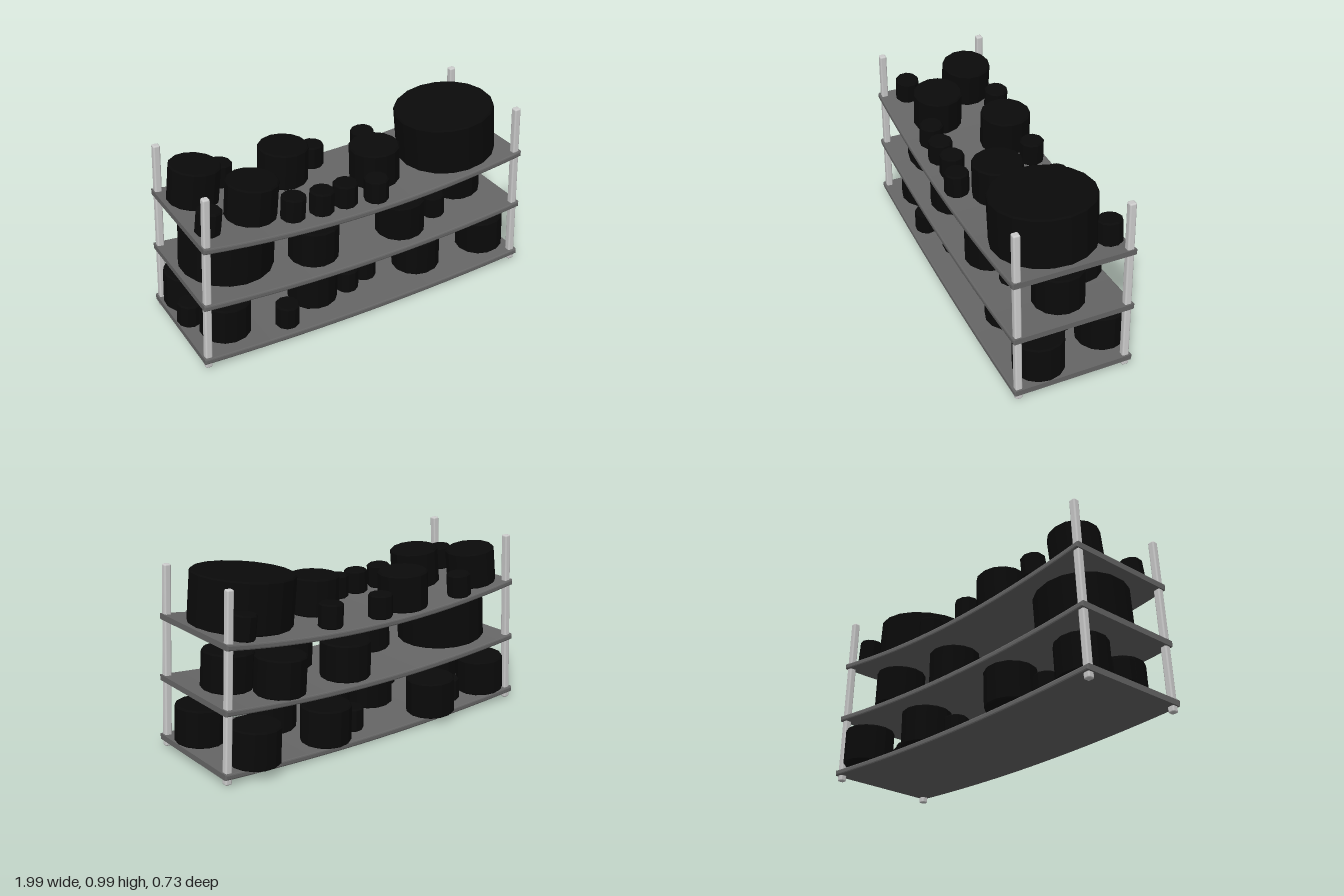
import * as THREE from 'three';
import { RoundedBoxGeometry } from 'three/addons/geometries/RoundedBoxGeometry.js';

const postMat = new THREE.MeshStandardMaterial({ color: 0xcccccc });
const boardMat = new THREE.MeshStandardMaterial({ color: 0x666666 });
const potMat = new THREE.MeshStandardMaterial({ color: 0x0a0a0a, flatShading: true });

const THICK = 0.032, BACK = -0.3, FRONT = 0.365;

// Pot sizes: radius, height, sides
const SIZES = {
  S: [0.067, 0.132, 10],
  M: [0.138, 0.207, 14],
  L: [0.253, 0.275, 18],
  XL: [0.275, 0.275, 18],
};

// Each shelf: half width, top surface at the middle, sag, pots as [size, x, z]
const SHELVES = [
  {
    name: 'bottomShelf', half: 0.995, y: 0.037, sag: 0.035,
    pots: [
      ['M', -0.79, 0.165], ['M', -0.85, -0.17], ['S', -0.93, 0.02], ['S', -0.6, -0.165],
      ['S', -0.475, 0.27], ['M', -0.41, -0.225], ['M', -0.235, 0.115], ['S', -0.03, 0.14],
      ['S', 0.115, 0.09], ['S', 0.1, -0.15], ['M', 0.305, -0.19], ['M', 0.435, 0.135],
      ['S', 0.62, -0.07], ['M', 0.78, -0.228], ['M', 0.86, 0.17],
    ],
  },
  {
    name: 'middleShelf', half: 0.977, y: 0.352, sag: 0.052,
    pots: [
      ['L', -0.7, 0.02], ['M', -0.255, 0.17], ['M', 0.135, -0.14], ['M', 0.285, 0.185],
      ['S', 0.52, 0.165], ['M', 0.58, -0.172], ['M', 0.775, 0.025],
    ],
  },
  {
    name: 'topShelf', half: 0.958, y: 0.662, sag: 0.075,
    pots: [
      ['M', -0.8, -0.125], ['S', -0.6, -0.235], ['S', -0.87, 0.215], ['M', -0.595, 0.13],
      ['S', -0.41, 0.24], ['S', -0.247, 0.25], ['S', -0.1, 0.24], ['S', 0.067, 0.28],
      ['M', -0.265, -0.145], ['S', -0.05, -0.21], ['S', 0.275, -0.2], ['M', 0.173, 0.09],
      ['XL', 0.66, 0.06], ['S', 0.825, -0.22],
    ],
  },
];

// Round pot with a narrow chamfer, standing on its local origin
function potGeometry([r, h, sides]) {
  const c = 0.008;
  const profile = [[0, 0], [r - c, 0], [r, c], [r, h - c], [r - c, h], [0, h]];
  return new THREE.LatheGeometry(profile.map(p => new THREE.Vector2(...p)), sides);
}

// Sagging board, extruded from its curved front outline
function boardGeometry({ half, y, sag }) {
  const n = 16, bevel = 0.008, shape = new THREE.Shape();
  const at = i => {
    const t = (2 * i) / n - 1;
    return [half * t, y + sag * t * t];
  };
  for (let i = 0; i <= n; i++) {
    const [px, py] = at(i);
    if (i === 0) shape.moveTo(px, py - THICK);
    else shape.lineTo(px, py - THICK);
  }
  for (let i = n; i >= 0; i--) shape.lineTo(...at(i));
  const geo = new THREE.ExtrudeGeometry(shape, {
    depth: FRONT - BACK - 2 * bevel, bevelEnabled: true,
    bevelSize: bevel, bevelThickness: bevel, bevelOffset: -bevel, bevelSegments: 2,
  });
  return geo.translate(0, 0, BACK + bevel);
}

export function createModel() {
  const model = new THREE.Group();
  model.name = 'shelfRack';

  // Four corner posts leaning inwards
  const postGeo = new RoundedBoxGeometry(0.038, 0.995, 0.038, 2, 0.009);
  for (const side of [-1, 1]) {
    for (const z of [BACK + 0.031, FRONT - 0.031]) {
      const post = new THREE.Mesh(postGeo, postMat);
      post.name = 'cornerPost';
      post.position.set(side * 0.944, 0.502, z);
      post.rotation.z = side * 0.052;
      model.add(post);
    }
  }

  // Shelves with pots standing square to the sagging surface
  const potGeos = {};
  for (const key in SIZES) potGeos[key] = potGeometry(SIZES[key]);
  for (const shelf of SHELVES) {
    const group = new THREE.Group();
    group.name = shelf.name;
    const board = new THREE.Mesh(boardGeometry(shelf), boardMat);
    board.name = 'board';
    group.add(board);
    const k = shelf.sag / shelf.half ** 2;
    shelf.pots.forEach(([size, x, z], i) => {
      const holder = new THREE.Group();
      holder.name = 'pot';
      holder.position.set(x, shelf.y + k * x * x, z);
      holder.rotation.z = Math.atan(2 * k * x);
      const pot = new THREE.Mesh(potGeos[size], potMat);
      pot.name = 'potBody';
      pot.rotation.y = i * 1.3;
      holder.add(pot);
      group.add(holder);
    });
    model.add(group);
  }
  return model;
}
